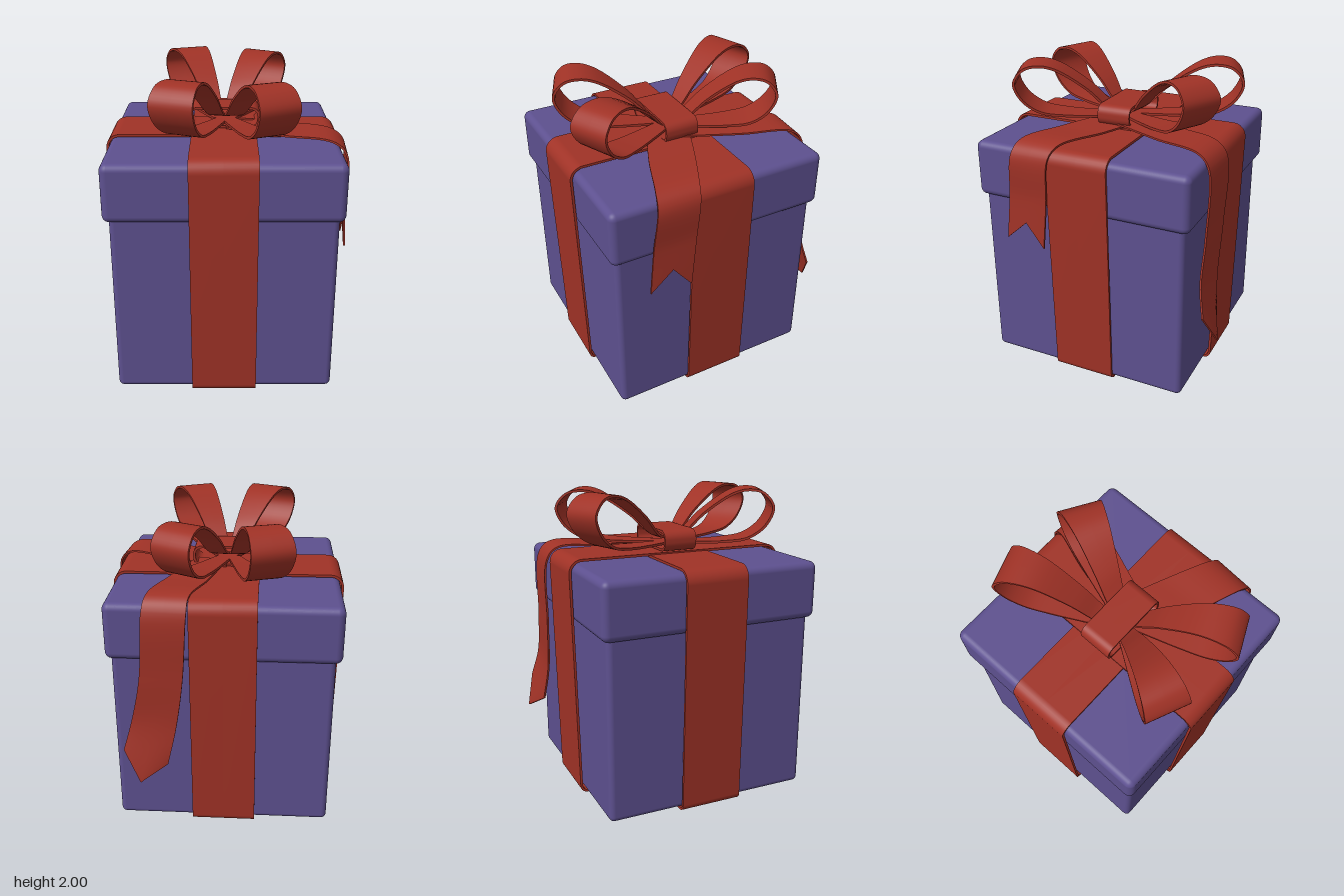
import * as THREE from 'three';
import { RoundedBoxGeometry } from 'three/addons/geometries/RoundedBoxGeometry.js';

const V = (x, y, z) => new THREE.Vector3(x, y, z);
const mid = (a, b) => a.clone().lerp(b, 0.5);

// Thin solid ribbon from rows of three points (edge, middle, edge)
function ribbonGeometry(rows, closed = false, thick = 0.016) {
  const n = rows.length, pos = [], idx = [];
  const up = rows.map((r, i) => {
    const a = rows[closed ? (i + n - 1) % n : Math.max(i - 1, 0)];
    const b = rows[closed ? (i + 1) % n : Math.min(i + 1, n - 1)];
    const along = mid(b[0], b[2]).sub(mid(a[0], a[2]));
    return along.cross(r[2].clone().sub(r[0])).normalize().multiplyScalar(thick / 2);
  });
  const at = (i, c, s) => rows[i][c].clone().addScaledVector(up[i], s);
  // One lengthwise strip per face, each with its own vertices
  const strip = (cols) => {
    const base = pos.length / 3, m = cols.length;
    for (let i = 0; i < n; i++) for (const [c, s] of cols) pos.push(...at(i, c, s).toArray());
    for (let i = 0; i < (closed ? n : n - 1); i++) {
      for (let j = 0; j < m - 1; j++) {
        const a = base + i * m + j, b = base + ((i + 1) % n) * m + j;
        idx.push(a, b, a + 1, b, b + 1, a + 1);
      }
    }
  };
  strip([[0, 1], [1, 1], [2, 1]]);
  strip([[2, -1], [1, -1], [0, -1]]);
  strip([[0, -1], [0, 1]]);
  strip([[2, 1], [2, -1]]);
  // End caps
  if (!closed) for (const [i, flip] of [[0, false], [n - 1, true]]) {
    for (let c = 0; c < 2; c++) {
      const b = pos.length / 3;
      for (const p of [at(i, c, -1), at(i, c, 1), at(i, c + 1, 1), at(i, c + 1, -1)]) pos.push(...p.toArray());
      idx.push(...(flip ? [b, b + 2, b + 1, b, b + 3, b + 2] : [b, b + 1, b + 2, b, b + 2, b + 3]));
    }
  }
  const g = new THREE.BufferGeometry();
  g.setAttribute('position', new THREE.Float32BufferAttribute(pos, 3));
  g.setIndex(idx);
  g.computeVertexNormals();
  return g;
}

// Closed outline with rounded corners; each corner is [u, y, radius]
function roundedOutline(corners) {
  const out = [], n = corners.length;
  corners.forEach(([u, y, r], i) => {
    const p = new THREE.Vector2(u, y);
    const toward = (k) => {
      const q = new THREE.Vector2(corners[k][0], corners[k][1]);
      return p.clone().add(q.sub(p).setLength(r));
    };
    const a = toward((i + n - 1) % n), b = toward((i + 1) % n);
    for (let k = 0; k <= 8; k++) {
      const t = k / 8, s = 1 - t;
      // Weighted quadratic gives a true quarter round
      const w = Math.SQRT2 * s * t, d = s * s + w + t * t;
      out.push([(a.x * s * s + p.x * w + b.x * t * t) / d, (a.y * s * s + p.y * w + b.y * t * t) / d]);
    }
  });
  return out;
}

// Closed band around an outline, between two positions on the other axis
function bandGeometry(corners, lo, hi, alongX) {
  const put = (u, y, w) => (alongX ? V(u, y, w) : V(w, y, u));
  const rows = roundedOutline(corners).map(([u, y]) =>
    (alongX ? [hi, (lo + hi) / 2, lo] : [lo, (lo + hi) / 2, hi]).map((w) => put(u, y, w)));
  return ribbonGeometry(rows, true);
}

// Bow loop: teardrop profile fanned out between knot and tip corners (plan x, z)
const teardrop = [
  [0.0, 1.635], [0.3, 1.64], [0.55, 1.65], [0.77, 1.68], [0.93, 1.77], [0.99, 1.88],
  [0.91, 1.965], [0.78, 1.99], [0.62, 1.965], [0.34, 1.83], [0.15, 1.7], [0.0, 1.665],
];
function loopGeometry(p, q, P, Q, tall) {
  const curve = new THREE.CatmullRomCurve3(teardrop.map(([f, y]) => V(f, y, 0)));
  const rows = curve.getPoints(56).map(({ x: f, y }) => {
    const edge = (a, b) => V(a[0] + (b[0] - a[0]) * f, 1.635 + (y - 1.635) * tall, a[1] + (b[1] - a[1]) * f);
    const A = edge(p, P), B = edge(q, Q);
    return [A, mid(A, B), B];
  });
  return ribbonGeometry(rows);
}

// Loose tail: two edge paths and the middle point of its cut end
function tailGeometry(edgeA, edgeB, endMiddle) {
  const A = edgeA.map((p) => V(...p)), B = edgeB.map((p) => V(...p));
  const M = A.map((p, i) => mid(p, B[i]));
  M[M.length - 1] = V(...endMiddle);
  const [a, m, b] = [A, M, B].map((pts) => new THREE.CatmullRomCurve3(pts).getPoints(60));
  return ribbonGeometry(a.map((p, i) => [p, m[i], b[i]]), false, 0.012);
}

export function createModel() {
  const model = new THREE.Group();
  const purple = new THREE.MeshStandardMaterial({ color: 0x5d508f });
  purple.name = 'purple card';
  const red = new THREE.MeshStandardMaterial({ color: 0xa03226, side: THREE.DoubleSide });
  red.name = 'red ribbon';
  const add = (name, geometry, material, parent = model) => {
    const mesh = new THREE.Mesh(geometry, material);
    mesh.name = name;
    parent.add(mesh);
    return mesh;
  };

  // Box and lid
  add('boxBody', new RoundedBoxGeometry(1.385, 1.28, 1.385, 5, 0.035), purple).position.set(-0.01, 0.66, 0.06);
  add('boxLid', new RoundedBoxGeometry(1.455, 0.368, 1.455, 5, 0.045), purple).position.set(-0.012, 1.382, 0.058);

  // Ribbon bands, tapering from the lid down to the base
  add('frontBackBand', bandGeometry(
    [[-0.655, 0.01, 0.04], [0.772, 0.01, 0.04], [0.803, 1.592, 0.08], [-0.69, 1.592, 0.08]], -0.22, 0.193, false), red);
  add('sideBand', bandGeometry(
    [[-0.73, 0.012, 0.04], [0.695, 0.012, 0.04], [0.732, 1.582, 0.08], [-0.76, 1.582, 0.08]], -0.15, 0.263, true), red);

  // Bow: four loops held by a knot
  const bow = new THREE.Group();
  bow.name = 'bow';
  model.add(bow);
  const loops = [
    ['frontRightLoop', [-0.06, 0.055], [0.016, 0.055], [-0.455, 0.63], [-0.19, 0.745], 1],
    ['frontLeftLoop', [-0.036, 0.055], [0.06, 0.055], [0.19, 0.78], [0.435, 0.665], 0.97],
    ['backRightLoop', [-0.08, 0.055], [0.0, 0.055], [-0.435, -0.59], [-0.175, -0.685], 1],
    ['backLeftLoop', [-0.04, 0.055], [0.06, 0.055], [0.185, -0.65], [0.425, -0.505], 0.97],
  ];
  for (const [name, ...spec] of loops) add(name, loopGeometry(...spec), red, bow);
  add('knot', bandGeometry(
    [[-0.242, 1.612, 0.05], [0.212, 1.612, 0.05], [0.212, 1.732, 0.05], [-0.242, 1.732, 0.05]], -0.055, 0.168, true), red, bow);

  // Tail over the side with a notched end
  add('sideTail', tailGeometry(
    [[0, 1.615, -0.09], [0.35, 1.611, 0.05], [0.68, 1.606, 0.2], [0.752, 1.54, 0.23], [0.752, 1.25, 0.255], [0.757, 0.93, 0.285]],
    [[0, 1.615, 0.2], [0.35, 1.611, 0.36], [0.66, 1.603, 0.475], [0.738, 1.53, 0.5], [0.735, 1.25, 0.53], [0.745, 0.95, 0.56]],
    [0.75, 1.085, 0.41]), red, bow);

  // Tail over the back with a pointed, flared end
  add('backTail', tailGeometry(
    [[0, 1.625, 0], [0.1, 1.62, -0.38], [0.19, 1.608, -0.64], [0.2, 1.53, -0.71], [0.23, 1.1, -0.715], [0.28, 0.75, -0.71], [0.335, 0.5, -0.735]],
    [[0.2, 1.625, 0.05], [0.34, 1.617, -0.3], [0.45, 1.608, -0.62], [0.47, 1.53, -0.69], [0.5, 1.1, -0.7], [0.56, 0.8, -0.7], [0.615, 0.6, -0.74]],
    [0.505, 0.4, -0.805]), red, bow);

  return model;
}
